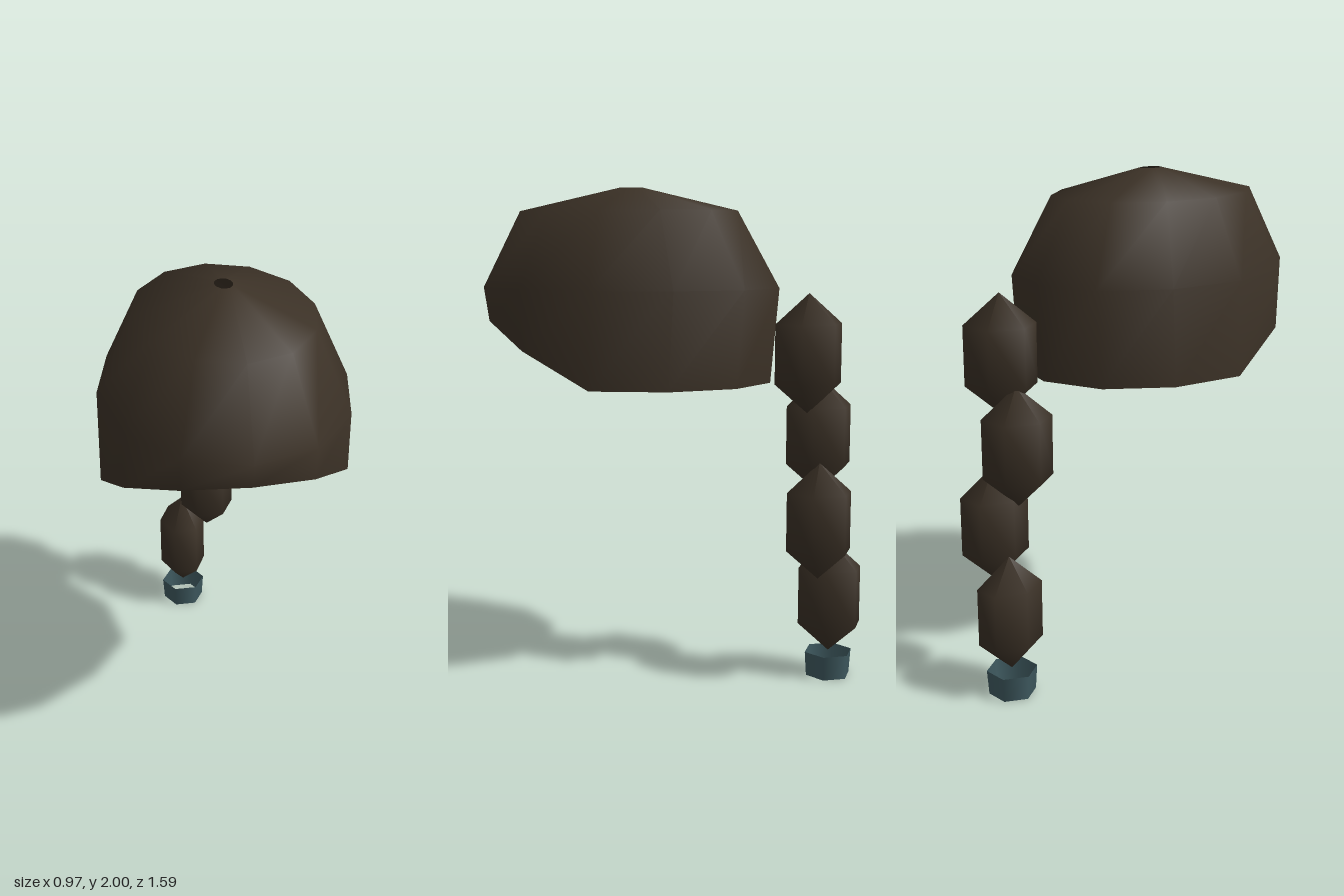
import * as THREE from 'three';

// Open shell skinned over 12-sided oval rings: [y, radiusX, radiusZ, centreZ]
function capGeometry() {
  const sides = 12;
  const rings = [
    [1.22, 0.485, 0.6, 0.17],
    [1.6, 0.482, 0.63, 0.167],
    [1.905, 0.34, 0.465, 0.175],
    [2.0, 0.035, 0.05, 0.16],
  ];
  const positions = [];
  const indices = [];
  rings.forEach(([y, rx, rz, cz], level) => {
    for (let i = 0; i < sides; i++) {
      const a = (i / sides) * Math.PI * 2;
      // The lower edge rises towards the forehead
      const lift = level === 0 ? Math.max(0, Math.cos(a)) * 0.28 : 0;
      positions.push(Math.sin(a) * rx, y + lift, cz + Math.cos(a) * rz);
    }
  });
  for (let r = 0; r < rings.length - 1; r++) {
    for (let i = 0; i < sides; i++) {
      const a = r * sides + i;
      const b = r * sides + ((i + 1) % sides);
      indices.push(a, b, b + sides, a, b + sides, a + sides);
    }
  }
  const geometry = new THREE.BufferGeometry();
  geometry.setAttribute('position', new THREE.Float32BufferAttribute(positions, 3));
  geometry.setIndex(indices);
  geometry.computeVertexNormals();
  return geometry;
}

export function createModel() {
  const group = new THREE.Group();
  const hair = new THREE.MeshStandardMaterial({ color: 0x3b3126, side: THREE.DoubleSide });
  hair.name = 'dark brown hair';
  const band = new THREE.MeshStandardMaterial({ color: 0x3f5a60, side: THREE.DoubleSide });
  band.name = 'slate teal band';

  const add = (name, geometry, material, x, y, z) => {
    const mesh = new THREE.Mesh(geometry, material);
    mesh.name = name;
    mesh.position.set(x, y, z);
    group.add(mesh);
    return mesh;
  };

  // Hair cap
  add('hairCap', capGeometry(), hair, 0, 0, 0);

  // Braid: six-sided pointed segments, narrowing downwards: [x, y, z, radiusX]
  const profile = [[0, -0.238], [1, -0.118], [1, 0.118], [0, 0.238]].map(([x, y]) => new THREE.Vector2(x, y));
  const segment = new THREE.LatheGeometry(profile, 6, Math.PI / 2);
  [
    [0.057, 1.347, -0.595, 0.148],
    [-0.06, 1.01, -0.62, 0.135],
    [0.056, 0.675, -0.648, 0.122],
    [-0.06, 0.34, -0.677, 0.106],
  ].forEach(([x, y, z, rx], i) => {
    add(`braidSegment${i + 1}`, segment, hair, x, y, z).scale.set(rx, 1, 0.137);
  });

  // Open hair tie below the braid
  add('hairTie', new THREE.CylinderGeometry(0.101, 0.094, 0.1, 6, 1, true, Math.PI / 2), band, -0.06, 0.05, -0.677);

  return group;
}
